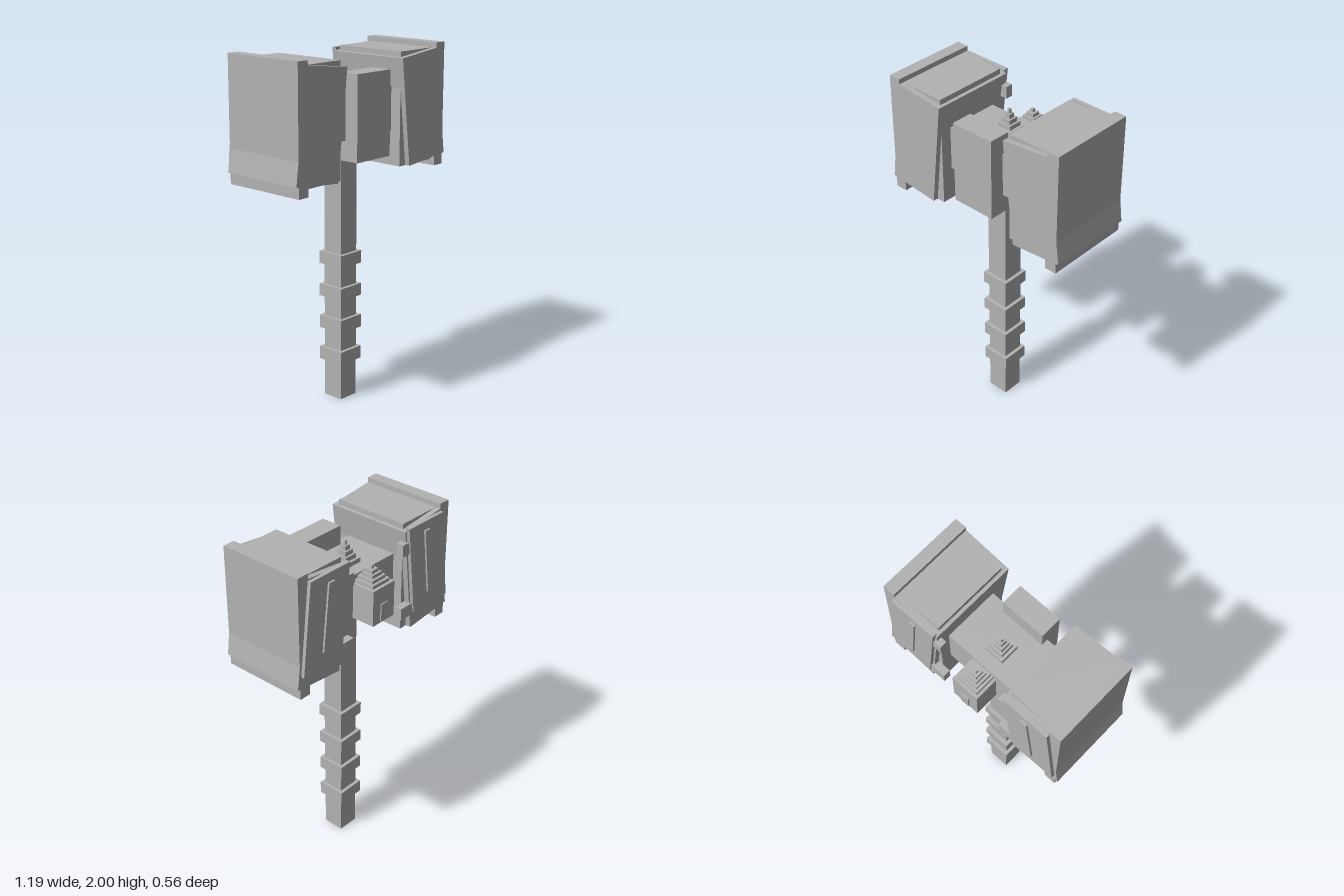
import * as THREE from 'three';

export function createModel() {
  const model = new THREE.Group();
  model.name = 'hammer';
  const grey = new THREE.MeshStandardMaterial({ color: 0xb2b2b2 });
  grey.name = 'plain grey';

  const add = (name, geometry, parent) => {
    const mesh = new THREE.Mesh(geometry, grey);
    mesh.name = name;
    parent.add(mesh);
    return mesh;
  };
  // box given by its limits on each axis
  const box = (name, x0, x1, y0, y1, z0, z1, parent = model) => {
    const mesh = add(name, new THREE.BoxGeometry(Math.abs(x1 - x0), y1 - y0, z1 - z0), parent);
    mesh.position.set((x0 + x1) / 2, (y0 + y1) / 2, (z0 + z1) / 2);
    return mesh;
  };
  // outline in x and y, extruded from z0 to z1, mirrored when side is -1
  const prism = (name, side, points, z0, z1, parent) => {
    const shape = new THREE.Shape(points.map(([x, y]) => new THREE.Vector2(side * x, y)));
    const geometry = new THREE.ExtrudeGeometry(shape, { depth: z1 - z0, bevelEnabled: false });
    return add(name, geometry.translate(0, 0, z0), parent);
  };
  // stack of shrinking square tiers
  const steps = (name, halves, y0, y1, z) => {
    const group = new THREE.Group();
    group.name = name;
    const h = (y1 - y0) / halves.length;
    halves.forEach((r, i) =>
      box('tier', -r, r, y0 + i * h, y0 + (i + 1) * h, z - r, z + r, group));
    model.add(group);
  };

  // handle and grip rings
  box('handle', -0.063, 0.063, 0, 1.54, -0.033, 0.092);
  for (const [y0, y1] of [[0.22, 0.295], [0.41, 0.485], [0.602, 0.672], [0.793, 0.865]])
    box('gripRing', -0.083, 0.083, y0, y1, -0.053, 0.112);

  // centre of the head
  box('crossBar', -0.3, 0.3, 1.53, 1.78, -0.135, 0.185);
  box('frontBlock', -0.132, 0.132, 1.42, 1.89, 0.145, 0.27);

  // stepped spires on top and at the back
  steps('topSpire', [0.056, 0.04, 0.028, 0.017, 0.007], 1.78, 1.908, -0.008);
  box('backSpireBase', -0.083, 0.083, 1.53, 1.735, -0.274, -0.13);
  box('backSpireTile', -0.026, 0.026, 1.54, 1.64, -0.281, -0.27);
  steps('backSpire', [0.066, 0.051, 0.037, 0.024, 0.008], 1.735, 1.83, -0.19);

  // two mirrored striking heads
  for (const side of [1, -1]) {
    const head = new THREE.Group();
    head.name = side > 0 ? 'leftHead' : 'rightHead';
    model.add(head);

    prism('strikingPlate', side, [
      [0.51, 1.307], [0.58, 1.307], [0.58, 1.367], [0.597, 1.372],
      [0.58, 1.5], [0.58, 2], [0.51, 2]], -0.226, 0.28, head);
    prism('wedgeBody', side, [
      [0.515, 1.362], [0.515, 1.972], [0.221, 1.94], [0.29, 1.34]], -0.226, 0.28, head);
    box('innerCore', side * 0.24, side * 0.515, 1.34, 1.972, -0.195, 0.25, head);

    // leaning panel and rib on the back
    prism('backPanel', side, [
      [0.29, 1.44], [0.572, 1.44], [0.512, 1.96], [0.23, 1.96]], -0.246, -0.22, head);
    prism('backRib', side, [
      [0.396, 1.53], [0.436, 1.53], [0.392, 1.91], [0.352, 1.91]], -0.257, -0.24, head);

    // small lugs beside the panel
    box('upperLug', side * 0.192, side * 0.26, 1.81, 1.88, -0.238, -0.195, head);
    box('lowerLug', side * 0.192, side * 0.3, 1.43, 1.5, -0.238, -0.195, head);
  }
  return model;
}
